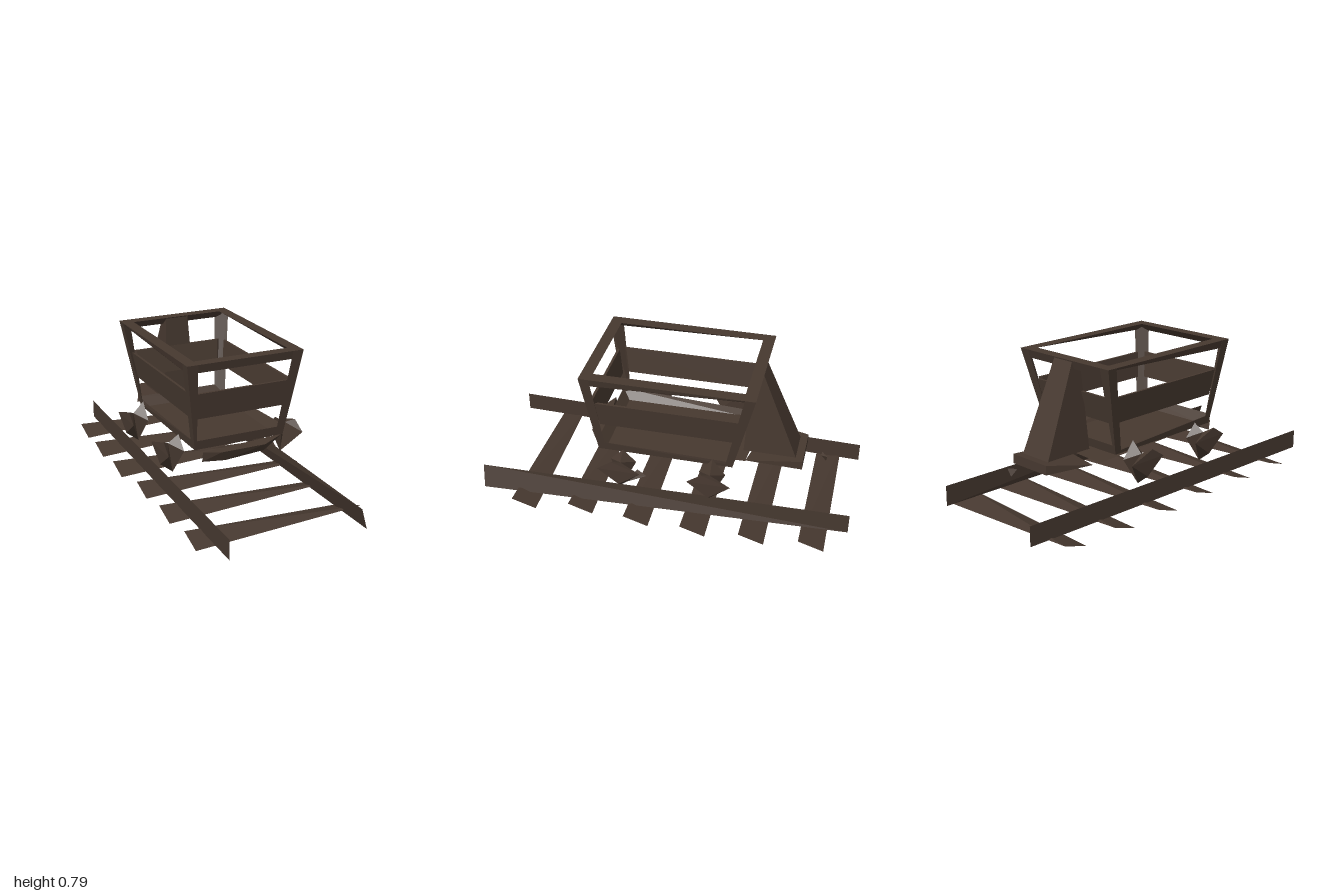
import * as THREE from 'three';
import { ConvexGeometry } from 'three/addons/geometries/ConvexGeometry.js';

export function createModel() {
  const model = new THREE.Group();
  const brown = new THREE.MeshStandardMaterial({ color: 0x46382f, side: THREE.DoubleSide });
  brown.name = 'darkWood';

  function add(name, geometry) {
    const mesh = new THREE.Mesh(geometry, brown);
    mesh.name = name;
    model.add(mesh);
  }
  // faceted solid through a few corner points
  function solid(name, points) {
    add(name, new ConvexGeometry(points.map((p) => new THREE.Vector3(...p))));
  }
  // flat-shaded open sheet through four corners
  function sheet(name, a, b, c, d) {
    const g = new THREE.BufferGeometry();
    g.setAttribute('position', new THREE.Float32BufferAttribute([a, b, c, a, c, d].flat(), 3));
    g.computeVertexNormals();
    add(name, g);
  }

  // twisted wedge-shaped ties: high corners lie on one diagonal, low corners on the other
  const ties = [
    [-0.825, -0.45, 0.44], [-0.515, -0.47, 0.46], [-0.205, -0.475, 0.47],
    [0.105, -0.455, 0.46], [0.42, -0.46, 0.43], [0.73, -0.46, 0.46],
  ];
  for (const [z, x0, x1] of ties) {
    solid('tie', [
      [x0, 0.042, z - 0.067], [x1, 0.042, z + 0.067],
      [x0, 0, z + 0.067], [x1, 0, z - 0.067],
    ]);
  }

  // rails: upright skewed strips
  sheet('leftRail', [0.33, 0.14, 1], [0.37, 0.02, 0.99], [0.32, 0.05, -1], [0.318, 0.16, -1]);
  sheet('rightRail', [-0.386, 0.14, 1], [-0.386, 0.035, 1], [-0.33, 0.035, -1], [-0.33, 0.14, -1]);

  // outline of the tub (x0, x1, z0, z1) at a given height
  function outline(y, inset = 0) {
    const t = (y - 0.31) / 0.475;
    return {
      x0: -0.26 - 0.07 * t + inset, x1: 0.25 + 0.07 * t - inset,
      z0: -0.37 - 0.115 * t + inset, z1: 0.355 + 0.07 * t - inset,
    };
  }
  // corner points of the tub: [sideX, sideZ] are -1 or 1
  function corner(y, sx, sz, inset = 0) {
    const o = outline(y, inset);
    return [sx < 0 ? o.x0 : o.x1, y, sz < 0 ? o.z0 : o.z1];
  }
  const ring = [[-1, 1], [1, 1], [1, -1], [-1, -1]];
  for (let i = 0; i < 4; i++) {
    const a = ring[i], b = ring[(i + 1) % 4];
    const side = i % 2 === 1;

    // top rim, the side bars taper toward the back
    const drop = (c) => (side && c[1] < 0 ? 0.775 : 0.74);
    solid('rim', [
      corner(0.785, ...a), corner(0.785, ...b),
      corner(0.785, ...a, 0.062), corner(0.785, ...b, 0.062),
      corner(drop(a), ...a, 0.004), corner(drop(b), ...b, 0.004),
    ]);

    // bottom bar
    const rise = (c) => (side && c[1] < 0 ? 0.325 : 0.36);
    solid('bottomBar', [
      corner(0.31, ...a), corner(0.31, ...b),
      corner(0.31, ...a, 0.04), corner(0.31, ...b, 0.04),
      corner(rise(a), ...a), corner(rise(b), ...b),
    ]);

    // side board, stopping short of the corner posts
    const trim = (y, inset) => {
      const p = corner(y, ...a, inset), q = corner(y, ...b, inset);
      return [0.04, 0.96].map((t) => p.map((v, k) => v + (q[k] - v) * t));
    };
    solid('sideBoard', [
      ...trim(0.48, 0.012), ...trim(0.62, 0.012),
      ...trim(0.48, 0.026), ...trim(0.62, 0.026),
    ]);

    // leaning corner post
    const [sx, sz] = a;
    const foot = sx < 0 ? 0.012 : 0.045;
    const post = [];
    for (const [y, wx, wz] of [[0.31, foot, 0.04], [0.785, 0.06, 0.055]]) {
      const [x, , z] = corner(y, sx, sz);
      post.push([x, y, z], [x - sx * wx, y, z], [x, y, z - sz * wz]);
    }
    solid('cornerPost', post);
  }

  // tub floor and the sloping underside
  sheet('floor', [-0.26, 0.312, 0.355], [0.25, 0.312, 0.355], [0.25, 0.312, -0.37], [-0.26, 0.312, -0.37]);
  sheet('underside', [-0.235, 0.302, 0.37], [0.2, 0.3, 0.3], [0.14, 0.278, -0.42], [-0.23, 0.28, -0.45]);

  // bumpers
  solid('frontBumper', [
    [-0.235, 0.31, 0.4], [-0.235, 0.255, 0.39], [-0.12, 0.255, 0.42], [0.12, 0.255, 0.39],
    [0.25, 0.31, 0.35], [-0.15, 0.31, 0.44], [0.1, 0.31, 0.44],
  ]);
  solid('rearBumper', [
    [-0.23, 0.282, -0.5], [0.14, 0.282, -0.42], [-0.13, 0.31, -0.72],
    [0.12, 0.31, -0.72], [0.12, 0.26, -0.72], [-0.13, 0.26, -0.72],
  ]);

  // tall sloping brace behind the tub
  solid('rearBrace', [
    [-0.07, 0.785, -0.48], [0.06, 0.785, -0.48], [-0.07, 0.785, -0.43], [0.06, 0.785, -0.43],
    [-0.1, 0.31, -0.68], [0.09, 0.31, -0.68], [-0.1, 0.31, -0.4], [0.09, 0.31, -0.4],
  ]);

  // jagged wheels, each an inner and an outer flake meeting at the rail
  for (const s of [-1, 1]) {
    for (const [z, lift] of [[0.21, 0], [-0.27, 0.02]]) {
      const bottom = [s * 0.32, 0.145, z], notch = [s * 0.345, 0.31, z];
      solid('wheelInner', [
        bottom, notch, [s * 0.285, 0.35 + lift, z],
        [s * 0.285, 0.28, z + 0.07], [s * 0.285, 0.28, z - 0.07],
      ]);
      solid('wheelOuter', [
        bottom, notch, [s * 0.385, 0.335, z + 0.04], [s * 0.39, 0.2, z],
        [s * 0.39, 0.285, z + 0.115], [s * 0.39, 0.285, z - 0.115],
      ]);
    }
  }

  // loose splinters
  solid('splinter', [[0.265, 0.215, 0.14], [0.31, 0.215, 0.08], [0.31, 0.15, 0.2], [0.3, 0.19, 0.16]]);
  solid('coupling', [[-0.02, 0.29, -0.81], [0.02, 0.29, -0.84], [0, 0.25, -0.835], [0, 0.28, -0.805]]);

  return model;
}
